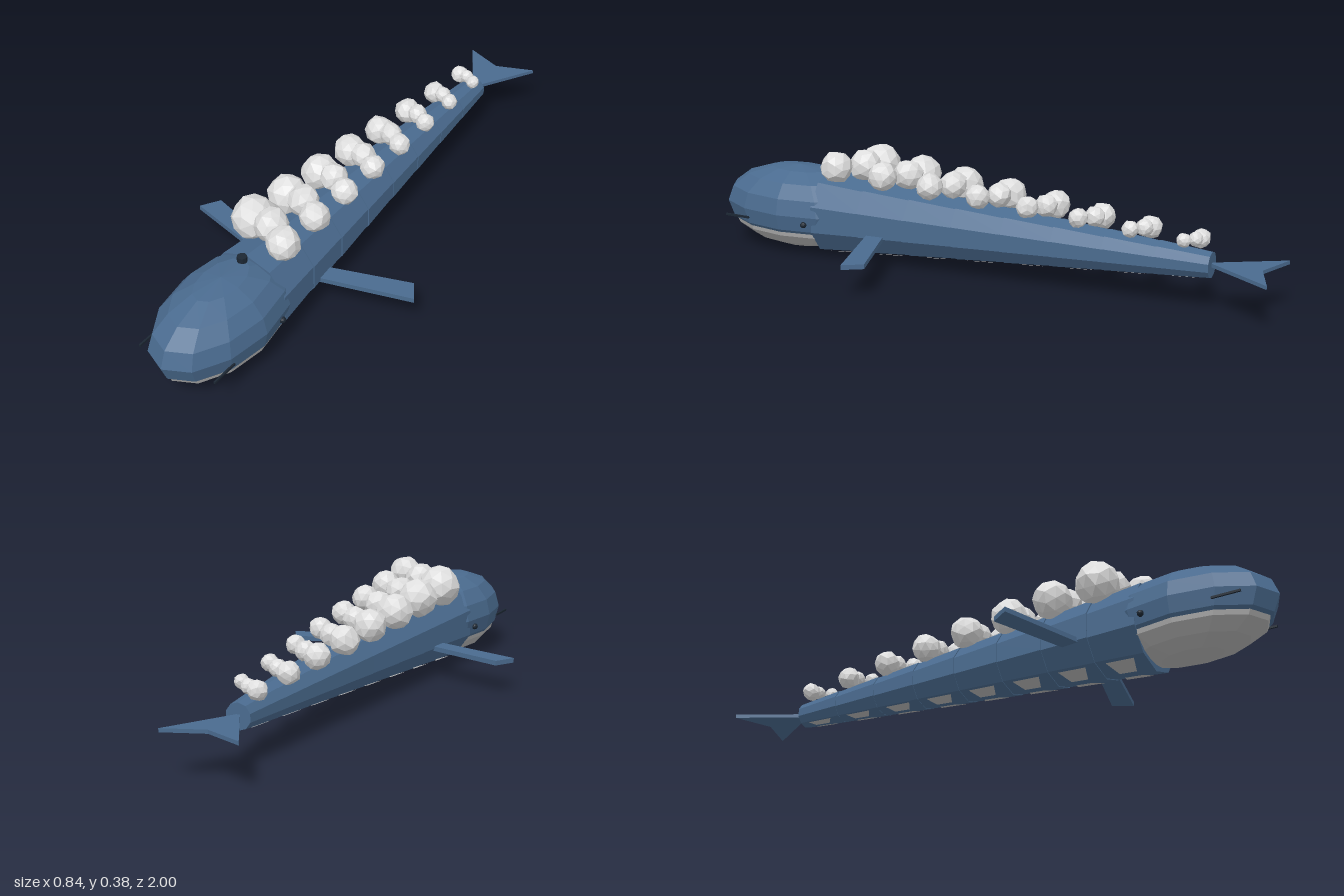
import * as THREE from 'three';

const mat = (name, color, extra = {}) =>
  new THREE.MeshStandardMaterial({ name, color, flatShading: true, ...extra });

export function createModel() {
  const root = new THREE.Group();
  root.name = 'whale';
  const blue = mat('skinBlue', 0x4a6b8f);
  const grey = mat('bellyGrey', 0xb4b4b4, { side: THREE.DoubleSide });
  const white = mat('cloudWhite', 0xdedede);
  const dark = mat('darkDetail', 0x1c2733);

  const add = (name, geo, material, x = 0, y = 0, z = 0, parent = root) => {
    const m = new THREE.Mesh(geo, material);
    m.name = name;
    m.position.set(x, y, z);
    parent.add(m);
    return m;
  };

  // Head and the pale jaw emerging from its underside
  add('head', new THREE.SphereGeometry(1, 12, 8).scale(0.165, 0.142, 0.292), blue, 0, 0.158, 0.703);
  add('jaw', new THREE.SphereGeometry(1, 12, 8).scale(0.152, 0.108, 0.27), grey, 0, 0.12, 0.703);

  // Tapering body made of overlapping ten-sided rings
  const front = 0.58, back = -0.79, rings = 8;
  const step = (front - back) / rings;
  const along = z => (front - z) / (front - back);
  const radius = z => THREE.MathUtils.lerp(0.145, 0.043, along(z));
  const axisY = z => THREE.MathUtils.lerp(0.15, 0.157, along(z));
  const skin = (angle, z, k) => [
    Math.sin(angle) * radius(z) * k, axisY(z) - Math.cos(angle) * radius(z) * k, z];

  for (let i = 0; i < rings; i++) {
    const z0 = front - i * step, z1 = z0 - step - (i < rings - 1 ? 0.012 : 0);
    const zm = (z0 + z1) / 2;
    const seg = new THREE.CylinderGeometry(radius(z0) * 1.015, radius(z1) * 0.985, z0 - z1, 10);
    seg.rotateX(Math.PI / 2);
    add('bodySegment', seg, blue, 0, axisY(zm), zm);

    // Pale belly patches on both sides of the keel
    for (const side of [-1, 1]) {
      const a = side * 0.12, b = side * 0.56;
      const za = z0 - step * 0.22, zb = z0 - step * 0.8;
      const patch = new THREE.BufferGeometry();
      patch.setAttribute('position', new THREE.Float32BufferAttribute([
        ...skin(a, za - 0.02, 1.0), ...skin(b, za, 1.015), ...skin(b, zb, 1.015), ...skin(a, zb + 0.02, 1.0),
      ], 3));
      patch.setIndex([0, 1, 2, 0, 2, 3]);
      patch.computeVertexNormals();
      add('bellyPatch', patch, grey);
    }
  }

  // Flat plates drawn in plan as [x, z]
  const plate = (points, thickness) => {
    const shape = new THREE.Shape(points.map(([x, z]) => new THREE.Vector2(x, -z)));
    const g = new THREE.ExtrudeGeometry(shape, { depth: thickness, bevelEnabled: false });
    return g.rotateX(-Math.PI / 2).translate(0, -thickness / 2, 0);
  };
  for (const s of [-1, 1]) {
    const side = s > 0 ? 'left' : 'right';
    add(side + 'Fin', plate([[s * 0.08, 0.325], [s * 0.38, 0.23], [s * 0.42, 0.293], [s * 0.08, 0.385]], 0.016),
      blue, 0, 0.113, 0);
    add(side + 'Eye', new THREE.IcosahedronGeometry(0.011, 1), dark, s * 0.148, 0.132, 0.605);
    add(side + 'MouthLine', new THREE.BoxGeometry(0.006, 0.007, 0.095), dark, s * 0.14, 0.126, 0.88);
  }
  add('tailFluke', plate([[0, -0.78], [-0.13, -1], [0, -0.95], [0.13, -1]], 0.012), blue, 0, 0.157, 0);
  add('blowhole', new THREE.CylinderGeometry(0.016, 0.016, 0.024, 8), dark, 0, 0.297, 0.6);

  // Faceted puffs, three to a cluster, shrinking toward the tail
  const puff = (r, seed) => {
    const g = new THREE.IcosahedronGeometry(r, 1);
    const p = g.attributes.position, v = new THREE.Vector3();
    for (let i = 0; i < p.count; i++) {
      v.fromBufferAttribute(p, i);
      const n = v.clone().divideScalar(r);
      v.multiplyScalar(1 + 0.07 * Math.sin(n.x * 5 + seed) * Math.cos(n.y * 4 + n.z * 3 + seed * 2));
      p.setXYZ(i, v.x, v.y, v.z);
    }
    g.rotateY(seed);
    g.computeVertexNormals();
    return g;
  };
  const puffs = [[-0.082, 0.16, 0, 0.073], [-0.005, 0.175, 0.015, 0.056], [0.084, 0.183, 0.075, 0.054]];
  for (let i = 0; i < 8; i++) {
    const t = i / 7, s = 1 - 0.57 * t;
    const cluster = new THREE.Group();
    cluster.name = 'cloudCluster';
    cluster.position.set(0, 0.15 + 0.007 * t, 0.43 - 1.17 * t);
    puffs.forEach(([x, y, z, r], j) =>
      add('cloudPuff', puff(r * s, i * 1.7 + j * 2.3), white, x * s, y * s, z * s, cluster));
    root.add(cluster);
  }
  return root;
}
